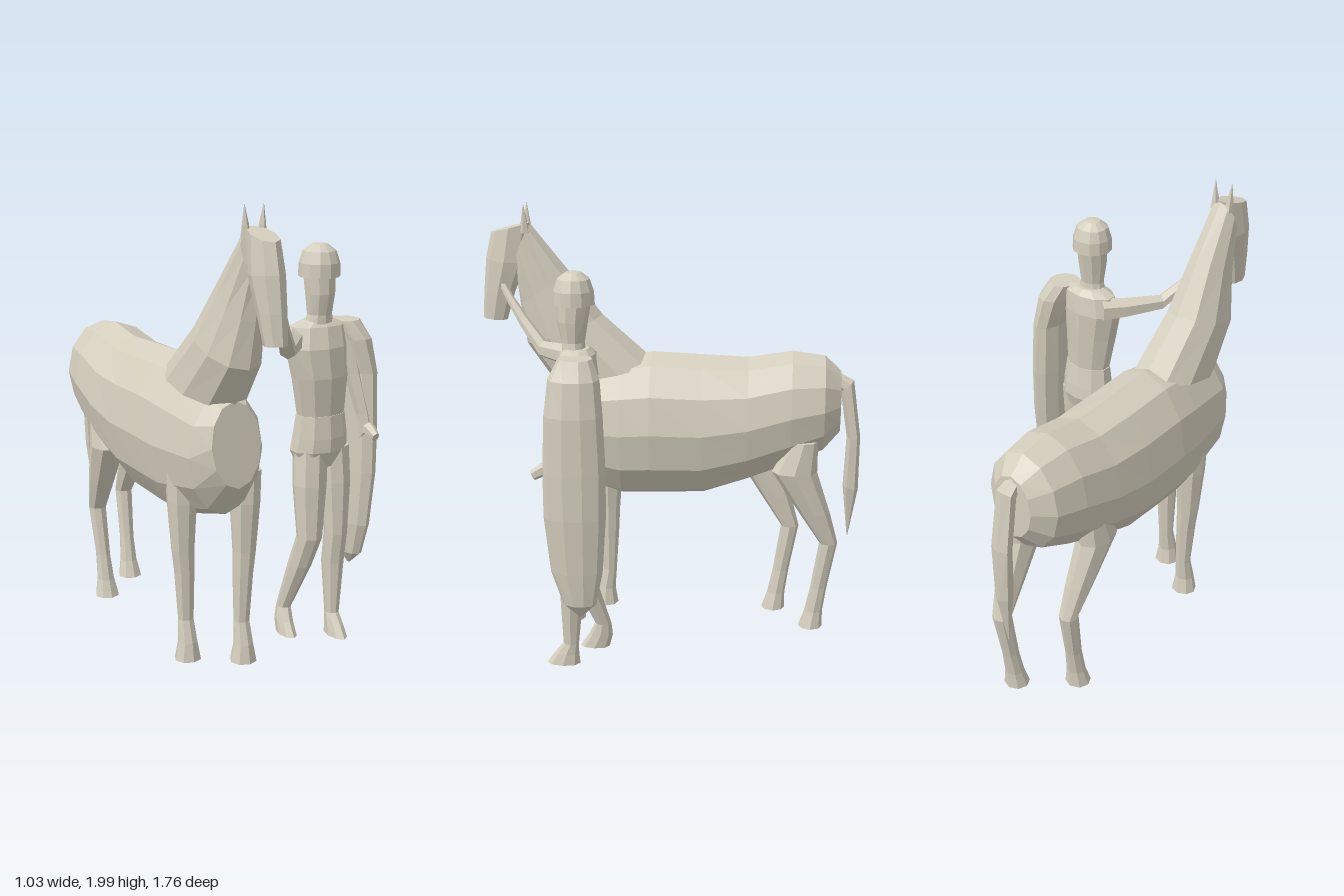
import * as THREE from 'three';

const clay = new THREE.MeshStandardMaterial({ color: 0xd4cebd });
clay.name = 'pale clay';

// Faceted loft. Each ring: [x, halfWidth, y1, z1, y2, z2, skewZ], where 1 and 2
// are the opposite ends (front/back or top/bottom) of the cross-section.
function loft(name, rings, n = 8) {
  const pos = [], idx = [];
  for (const [x, rx, y1, z1, y2, z2, skew = 0] of rings) {
    for (let i = 0; i < n; i++) {
      const a = (i / n) * Math.PI * 2, s = Math.sin(a), c = Math.cos(a);
      pos.push(x + rx * s, (y1 + y2) / 2 + (c * (y1 - y2)) / 2, (z1 + z2) / 2 + (c * (z1 - z2)) / 2 + skew * s);
    }
  }
  for (let r = 0; r < rings.length - 1; r++) {
    for (let i = 0; i < n; i++) {
      const a = r * n + i, b = r * n + ((i + 1) % n);
      idx.push(a, b, b + n, a, b + n, a + n);
    }
  }
  const last = (rings.length - 1) * n;
  for (let i = 1; i < n - 1; i++) idx.push(0, i + 1, i, last, last + i, last + i + 1);
  // Turn the faces outward by checking the enclosed volume
  const p = (i) => new THREE.Vector3().fromArray(pos, i * 3);
  let volume = 0;
  for (let i = 0; i < idx.length; i += 3) volume += p(idx[i]).dot(p(idx[i + 1]).cross(p(idx[i + 2])));
  if (volume < 0) idx.reverse();
  const indexed = new THREE.BufferGeometry();
  indexed.setAttribute('position', new THREE.Float32BufferAttribute(pos, 3));
  indexed.setIndex(idx);
  const geo = indexed.toNonIndexed();
  geo.computeVertexNormals();
  const mesh = new THREE.Mesh(geo, clay);
  mesh.name = name;
  return mesh;
}

// Upright limb ring: centre x, half width, height, front z, back z
const level = (x, rx, y, zf, zb) => [x, rx, y, zf, y, zb];

function makeHorse() {
  const horse = new THREE.Group();
  horse.name = 'horse';
  const X = -0.29;

  // Barrel, from chest to rump: z, half width, top, bottom
  const barrel = [
    [0.59, 0.115, 1.19, 0.83], [0.5, 0.175, 1.22, 0.69], [0.24, 0.215, 1.29, 0.615],
    [0.1, 0.23, 1.31, 0.62], [-0.14, 0.23, 1.3, 0.628], [-0.35, 0.225, 1.292, 0.7],
    [-0.55, 0.21, 1.325, 0.78], [-0.7, 0.18, 1.305, 0.85], [-0.775, 0.1, 1.235, 0.94],
  ];
  horse.add(loft('body', barrel.map(([z, rx, t, b]) => [X, rx, t, z - (z > 0.55 ? 0.02 : 0), b, z + (z > 0.55 ? 0.02 : 0)]), 12));

  horse.add(loft('neck', [
    [X, 0.15, 1.16, 0.56, 1.26, 0.08],
    [-0.288, 0.128, 1.34, 0.685, 1.48, 0.33],
    [-0.276, 0.093, 1.53, 0.71, 1.68, 0.48],
    [-0.266, 0.066, 1.72, 0.73, 1.9, 0.655],
  ], 10));
  horse.add(loft('head', [
    [-0.265, 0.055, 1.86, 0.835, 1.905, 0.655],
    [-0.264, 0.066, 1.74, 0.862, 1.72, 0.675],
    [-0.26, 0.056, 1.59, 0.875, 1.59, 0.73],
    [-0.256, 0.045, 1.467, 0.882, 1.457, 0.77],
  ]));
  for (const s of [-1, 1]) {
    horse.add(loft('ear', [
      level(-0.265 + s * 0.036, 0.02, 1.86, 0.695, 0.65),
      level(-0.265 + s * 0.038, 0.015, 1.91, 0.69, 0.66),
      level(-0.265 + s * 0.043, 0.001, 1.99, 0.677, 0.675),
    ], 5));
  }

  // Legs, mirrored about the body with their own stride
  for (const [s, zFront, zHind] of [[1, 0.46, -0.665], [-1, 0.325, -0.485]]) {
    const front = [
      [0.12, 0.065, 0.86, 0.07], [0.115, 0.066, 0.72, 0.07], [0.112, 0.052, 0.5, 0.052],
      [0.106, 0.045, 0.4, 0.048], [0.1, 0.036, 0.18, 0.034], [0.1, 0.044, 0.08, 0.042], [0.1, 0.06, 0, 0.055],
    ];
    horse.add(loft('frontLeg', front.map(([x, rx, y, rz]) =>
      level(X + s * x, rx, y, zFront + rz + (y < 0.1 ? 0.02 : 0), zFront - rz + (y < 0.1 ? 0.015 : 0)), 8)));
    const hind = [
      [0.13, 0.06, 0.93, 0.12, -0.01], [0.13, 0.075, 0.78, 0.2, -0.01], [0.12, 0.058, 0.58, 0.07, -0.075],
      [0.112, 0.043, 0.43, -0.03, -0.115], [0.106, 0.035, 0.2, 0.005, -0.072],
      [0.104, 0.042, 0.08, 0.03, -0.055], [0.104, 0.058, 0, 0.058, -0.055],
    ];
    horse.add(loft('hindLeg', hind.map(([x, rx, y, f, b]) => level(X + s * x, rx, y, zHind + f, zHind + b))));
  }

  horse.add(loft('tail', [
    [X, 0.03, 1.24, -0.74, 1.17, -0.75],
    [X, 0.045, 1.19, -0.835, 1.14, -0.775],
    [X, 0.05, 0.92, -0.873, 0.92, -0.81],
    [X, 0.04, 0.66, -0.872, 0.68, -0.8],
    [-0.3, 0.002, 0.425, -0.832, 0.425, -0.828],
  ], 6));
  return horse;
}

function makeMan() {
  const man = new THREE.Group();
  man.name = 'man';

  man.add(loft('torso', [
    level(0.235, 0.07, 1.445, 0.43, 0.32), level(0.235, 0.135, 1.42, 0.45, 0.295),
    level(0.225, 0.148, 1.33, 0.48, 0.285), level(0.238, 0.132, 1.2, 0.485, 0.295),
    level(0.25, 0.112, 1.02, 0.46, 0.31),
  ], 10));
  man.add(loft('tunicSkirt', [
    level(0.248, 0.116, 1.03, 0.465, 0.305), level(0.248, 0.13, 0.93, 0.475, 0.29),
    level(0.245, 0.136, 0.87, 0.475, 0.285), level(0.25, 0.11, 0.8, 0.45, 0.31),
  ], 10));
  man.add(loft('headAndNeck', [
    level(0.232, 0.068, 1.42, 0.44, 0.335), level(0.232, 0.056, 1.47, 0.44, 0.34),
    level(0.232, 0.066, 1.56, 0.46, 0.325), level(0.23, 0.07, 1.65, 0.46, 0.31),
  ], 10));
  man.add(loft('helmet', [
    level(0.23, 0.09, 1.632, 0.475, 0.295), level(0.23, 0.088, 1.69, 0.473, 0.298),
    level(0.23, 0.072, 1.74, 0.455, 0.315), level(0.23, 0.035, 1.768, 0.42, 0.35),
    level(0.23, 0.003, 1.773, 0.388, 0.382),
  ], 12));

  // Legs, the right one trailing with its knee bent
  man.add(loft('leftLeg', [
    level(0.315, 0.072, 0.88, 0.46, 0.31), level(0.318, 0.07, 0.72, 0.475, 0.325),
    level(0.315, 0.053, 0.48, 0.475, 0.37), level(0.312, 0.05, 0.34, 0.46, 0.355),
    level(0.308, 0.032, 0.1, 0.45, 0.38),
    level(0.308, 0.036, 0.05, 0.49, 0.38), level(0.308, 0.04, 0, 0.525, 0.375),
  ]));
  man.add(loft('rightLeg', [
    level(0.2, 0.08, 0.88, 0.46, 0.31), level(0.188, 0.078, 0.72, 0.475, 0.325),
    level(0.18, 0.058, 0.48, 0.475, 0.36), level(0.16, 0.052, 0.34, 0.43, 0.315),
    level(0.128, 0.032, 0.12, 0.33, 0.255),
    level(0.122, 0.036, 0.06, 0.36, 0.25), level(0.12, 0.037, 0, 0.4, 0.265),
  ]));

  // Right arm reaching to the horse's cheek; rings lean across the reach
  const arm = [
    [0.14, 1.365, 0.34, 0.06], [0.07, 1.365, 0.42, 0.05], [-0.035, 1.37, 0.565, 0.037],
    [-0.12, 1.475, 0.665, 0.03], [-0.18, 1.57, 0.74, 0.022], [-0.215, 1.62, 0.775, 0.02],
  ];
  man.add(loft('rightArm', arm.map(([x, y, z, r]) => [x, r * 0.8, y + r, z, y - r, z, r * 0.6]), 6));

  // Left arm hangs inside the cloak with the hand showing in front
  man.add(loft('leftArm', [
    level(0.36, 0.05, 1.4, 0.43, 0.33), level(0.395, 0.04, 1.2, 0.46, 0.37),
    level(0.425, 0.033, 1.02, 0.49, 0.42), [0.43, 0.03, 0.95, 0.5, 0.9, 0.45],
  ], 6));
  man.add(loft('leftHand', [
    [0.43, 0.026, 0.99, 0.46, 0.93, 0.45], [0.43, 0.028, 0.985, 0.51, 0.925, 0.5],
    [0.432, 0.018, 0.95, 0.555, 0.91, 0.535],
  ], 6));
  man.add(loft('cloak', [
    level(0.375, 0.07, 1.43, 0.435, 0.29), level(0.415, 0.08, 1.35, 0.475, 0.255),
    level(0.448, 0.068, 1.2, 0.49, 0.24), level(0.45, 0.067, 0.95, 0.5, 0.23),
    level(0.45, 0.064, 0.75, 0.5, 0.232), level(0.443, 0.055, 0.5, 0.475, 0.25),
    level(0.442, 0.043, 0.35, 0.425, 0.28), level(0.44, 0.005, 0.292, 0.36, 0.34),
  ], 10));
  return man;
}

export function createModel() {
  const model = new THREE.Group();
  model.name = 'manWithHorse';
  model.add(makeHorse(), makeMan());
  return model;
}
